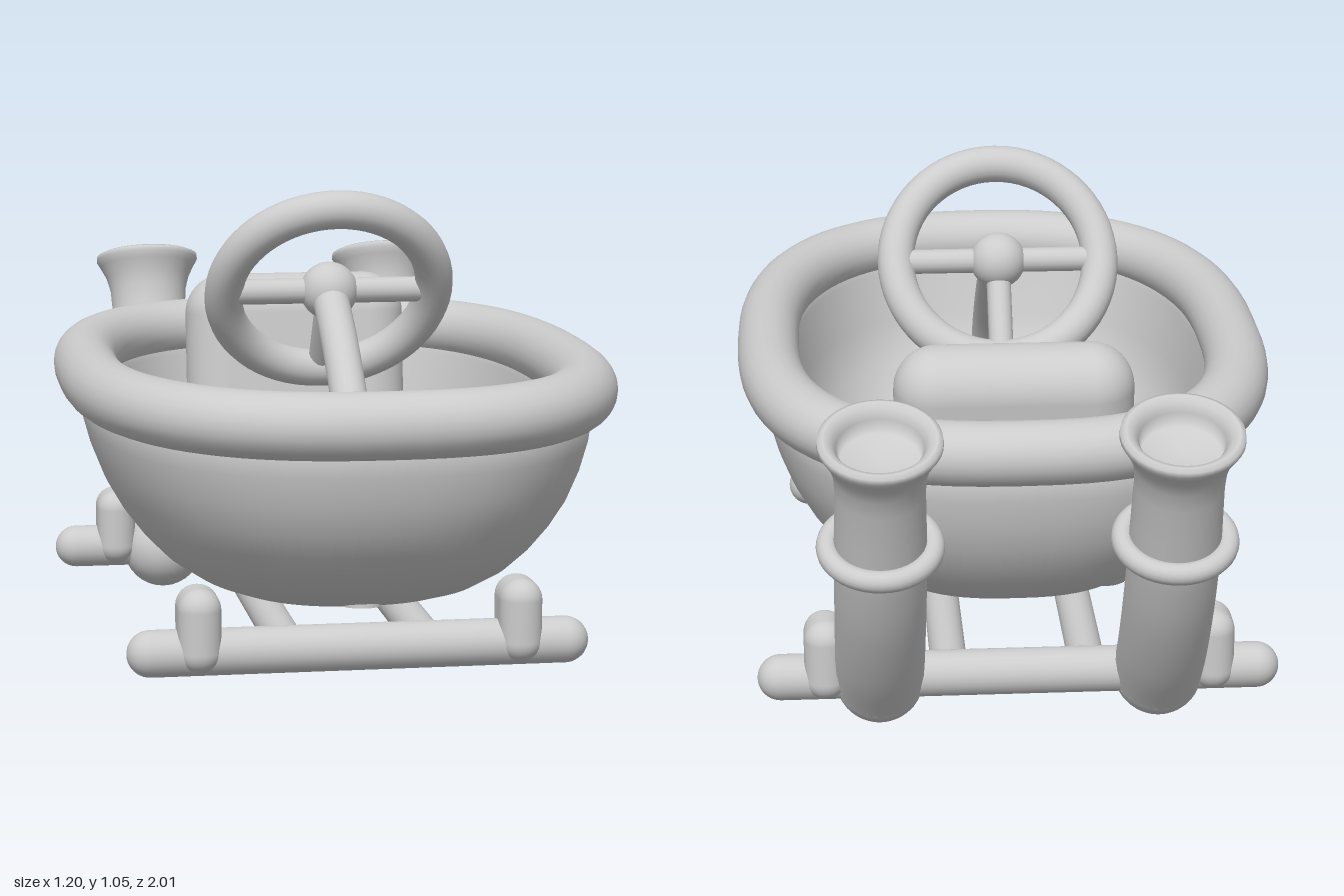
import * as THREE from 'three';
import { RoundedBoxGeometry } from 'three/addons/geometries/RoundedBoxGeometry.js';

const plainGrey = new THREE.MeshStandardMaterial({ color: 0xcccccc });
plainGrey.name = 'plainGrey';

const V = (x, y, z) => new THREE.Vector3(x, y, z);

function add(parent, name, geometry, x = 0, y = 0, z = 0) {
  const mesh = new THREE.Mesh(geometry, plainGrey);
  mesh.name = name;
  mesh.position.set(x, y, z);
  parent.add(mesh);
  return mesh;
}

// Lofts rounded rings [halfWidth, halfLength, y, centreZ]; the back is a little squarer than the front.
function loftRings(rings, closed = false, segments = 80) {
  const positions = [], index = [];
  const soften = (v, n) => Math.sign(v) * Math.abs(v) ** (2 / n);
  for (const [a, b, y, zc] of rings) {
    for (let j = 0; j < segments; j++) {
      const t = (j / segments) * Math.PI * 2;
      const n = Math.sin(t) < 0 ? 2.65 : 2.48;
      positions.push(a * soften(Math.cos(t), n), y, zc + b * soften(Math.sin(t), n));
    }
  }
  const bands = closed ? rings.length : rings.length - 1;
  for (let i = 0; i < bands; i++) {
    for (let j = 0; j < segments; j++) {
      const k = (j + 1) % segments, up = ((i + 1) % rings.length) * segments;
      const p = i * segments + j, q = i * segments + k;
      index.push(p, up + j, q, q, up + j, up + k);
    }
  }
  const geometry = new THREE.BufferGeometry();
  geometry.setAttribute('position', new THREE.Float32BufferAttribute(positions, 3));
  geometry.setIndex(index);
  geometry.computeVertexNormals();
  return geometry;
}

function buildTub(group) {
  // Outer wall from the bottom up, then the inner wall back down to the floor
  add(group, 'tubShell', loftRings([
    [0.002, 0.002, 0.165, 0.1], [0.12, 0.2, 0.167, 0.1], [0.21, 0.35, 0.176, 0.11],
    [0.285, 0.485, 0.197, 0.125], [0.335, 0.555, 0.22, 0.132], [0.388, 0.622, 0.257, 0.138],
    [0.43, 0.672, 0.3, 0.142], [0.468, 0.714, 0.35, 0.146], [0.5, 0.748, 0.405, 0.15],
    [0.524, 0.772, 0.465, 0.152], [0.542, 0.788, 0.53, 0.154], [0.55, 0.796, 0.6, 0.155],
    [0.5, 0.745, 0.64, 0.155], [0.475, 0.715, 0.58, 0.155], [0.458, 0.7, 0.46, 0.152],
    [0.425, 0.66, 0.365, 0.146], [0.365, 0.58, 0.285, 0.138], [0.28, 0.46, 0.235, 0.12],
    [0.14, 0.24, 0.212, 0.1], [0.002, 0.002, 0.205, 0.1],
  ]));
  const rim = [];
  for (let i = 0; i < 24; i++) {
    const p = (i / 24) * Math.PI * 2, out = 0.07 * Math.cos(p);
    rim.push([0.532 + out, 0.775 + out, 0.635 + 0.069 * Math.sin(p), 0.155]);
  }
  add(group, 'tubRim', loftRings(rim, true));
}

function buildSeat(group) {
  add(group, 'seatCushion', new RoundedBoxGeometry(0.58, 0.2, 0.48, 6, 0.08), 0, 0.31, -0.17);
  const back = add(group, 'seatBack', new RoundedBoxGeometry(0.52, 0.5, 0.192, 8, 0.094), 0, 0.54, -0.357);
  back.rotation.x = -0.12;
}

function buildSteering(group) {
  const wheel = new THREE.Group();
  wheel.name = 'steeringWheel';
  wheel.position.set(0, 0.812, 0.165);
  wheel.rotation.x = 0.613;
  add(wheel, 'wheelRing', new THREE.TorusGeometry(0.235, 0.042, 20, 64));
  add(wheel, 'wheelHub', new THREE.SphereGeometry(0.064, 28, 20));
  for (const angle of [Math.PI / 2, -Math.PI / 2, Math.PI]) {
    const spoke = add(wheel, 'wheelSpoke', new THREE.CylinderGeometry(0.028, 0.028, 0.23, 16),
      -Math.sin(angle) * 0.115, Math.cos(angle) * 0.115, 0);
    spoke.rotation.z = angle;
  }
  group.add(wheel);
  // Column bends down into the tub floor
  const path = new THREE.CatmullRomCurve3([
    V(0, 0.812, 0.165), V(0, 0.69, 0.352), V(0, 0.52, 0.53), V(0, 0.35, 0.61), V(0, 0.2, 0.62)]);
  add(group, 'steeringColumn', new THREE.TubeGeometry(path, 32, 0.04, 20));
}

function buildChassis(group) {
  for (const [name, half, z, bracketX] of [['front', 0.495, 0.585, 0.343], ['rear', 0.565, -0.548, 0.418]]) {
    const axle = add(group, name + 'Axle', new THREE.CapsuleGeometry(0.05, 2 * half - 0.1, 10, 24), 0, 0.104, z);
    axle.rotation.z = Math.PI / 2;
    for (const side of [-1, 1]) {
      add(group, name + 'Bracket', new RoundedBoxGeometry(0.092, 0.18, 0.135, 6, 0.045), side * bracketX, 0.155, z);
    }
  }
  for (const side of [-1, 1]) {
    const rail = add(group, 'chassisRail', new THREE.CylinderGeometry(0.04, 0.04, 1.133, 20), side * 0.15, 0.104, 0.018);
    rail.rotation.x = Math.PI / 2;
  }
}

function buildExhaust(side) {
  const exhaust = new THREE.Group();
  exhaust.name = side > 0 ? 'leftExhaust' : 'rightExhaust';
  exhaust.position.x = side * 0.302;
  add(exhaust, 'exhaustElbow', new THREE.SphereGeometry(0.096, 32, 20), 0, 0.096, -0.548);
  const path = new THREE.CatmullRomCurve3([
    V(0, 0.096, -0.548), V(0, 0.2, -0.632), V(0, 0.34, -0.722), V(0, 0.45, -0.776), V(0, 0.53, -0.807)]);
  add(exhaust, 'exhaustPipe', new THREE.TubeGeometry(path, 28, 0.096, 28));
  // Upper pipe flares near its top into a thick-lipped mouth with a recessed floor
  const stack = new THREE.Group();
  stack.name = 'exhaustStack';
  stack.position.set(0, 0.51, -0.802);
  stack.rotation.x = -0.335;
  const profile = [
    [0.096, -0.03], [0.094, 0.06], [0.092, 0.15], [0.095, 0.195], [0.104, 0.228], [0.118, 0.255],
    [0.127, 0.27], [0.126, 0.282], [0.115, 0.287], [0.1, 0.28], [0.088, 0.262], [0.081, 0.23], [0, 0.23],
  ].map(([r, y]) => new THREE.Vector2(r, y));
  add(stack, 'exhaustMouth', new THREE.LatheGeometry(profile, 36));
  const collar = add(stack, 'exhaustCollar', new THREE.TorusGeometry(0.109, 0.023, 16, 44));
  collar.rotation.x = Math.PI / 2;
  exhaust.add(stack);
  return exhaust;
}

export function createModel() {
  const model = new THREE.Group();
  model.name = 'bathtubCar';
  buildTub(model);
  buildSeat(model);
  buildSteering(model);
  buildChassis(model);
  for (const side of [-1, 1]) model.add(buildExhaust(side));
  return model;
}
